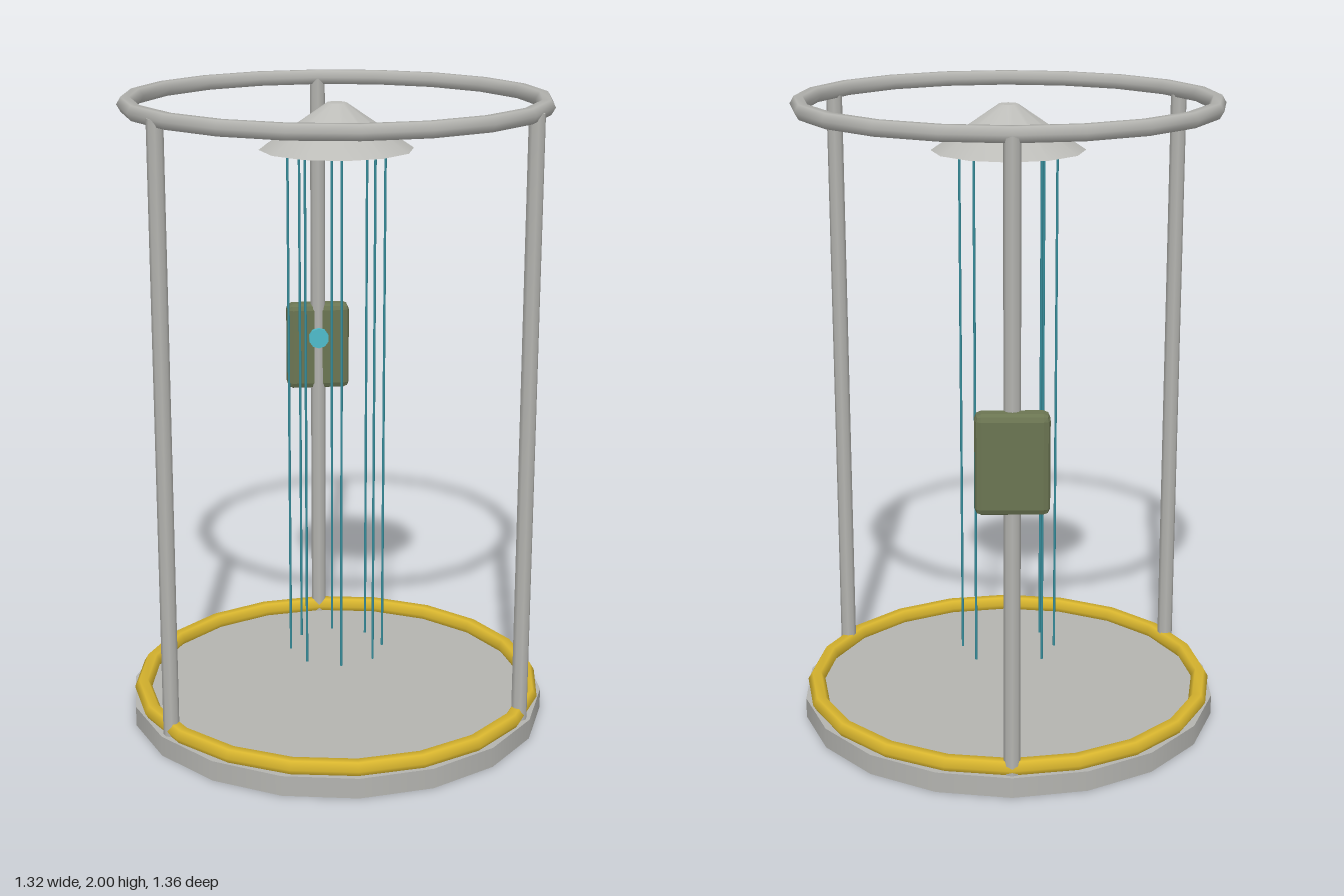
import * as THREE from 'three';
import { RoundedBoxGeometry } from 'three/addons/geometries/RoundedBoxGeometry.js';

const paint = (name, color) => {
  const m = new THREE.MeshStandardMaterial({ color });
  m.name = name;
  return m;
};

export function createModel() {
  const metal = paint('grey metal', 0xb4b4b0);
  const pale = paint('pale metal', 0xbcbcb8);
  const yellow = paint('yellow', 0xd8b52e);
  const olive = paint('olive', 0x6b7552);
  const cyan = paint('cyan', 0x4fbccb);
  const teal = paint('teal', 0x38909e);

  const model = new THREE.Group();
  model.name = 'showerFrame';
  const cz = 0.01; // axis of the round frame
  const R = 0.634; // radius of rings and posts

  const add = (name, geometry, material, x, y, z, parent = model) => {
    const mesh = new THREE.Mesh(geometry, material);
    mesh.name = name;
    mesh.position.set(x, y, z);
    parent.add(mesh);
    return mesh;
  };

  // Round base
  add('base', new THREE.CylinderGeometry(0.67, 0.67, 0.065, 18), metal, 0, 0.0325, cz);

  // Floor ring and top ring
  const ring = (tube) => new THREE.TorusGeometry(R, tube, 6, 20).rotateX(Math.PI / 2);
  add('floorRing', ring(0.028), yellow, 0, 0.082, cz);
  add('topRing', ring(0.026), metal, 0, 1.9775, cz);

  // Three posts
  const postGeometry = new THREE.CylinderGeometry(0.025, 0.025, 1.913, 8);
  for (let i = 0; i < 3; i++) {
    const a = Math.PI + (i * Math.PI * 2) / 3;
    add('post', postGeometry, metal, R * Math.sin(a), 1.0215, cz + R * Math.cos(a));
  }

  // Conical shower head
  add('showerHead', new THREE.CylinderGeometry(0.03, 0.237, 0.14, 12), pale, 0, 1.905, cz);

  // Water streams
  const streams = new THREE.Group();
  streams.name = 'waterStreams';
  model.add(streams);
  const streamGeometry = new THREE.CylinderGeometry(0.004, 0.004, 1.64, 5);
  for (let i = 0; i < 8; i++) {
    const a = (i * Math.PI) / 4;
    add('stream', streamGeometry, teal, 0.15 * Math.cos(a), 1.015, cz + 0.15 * Math.sin(a), streams);
  }

  // Control box with chamfered edges on the back post
  const box = new RoundedBoxGeometry(0.215, 0.3, 0.075, 1, 0.02);
  box.computeVertexNormals();
  add('controlBox', box, olive, 0, 1.05, -0.6425);

  // Round button
  const button = new THREE.CylinderGeometry(0.035, 0.035, 0.024, 10).rotateX(Math.PI / 2);
  add('button', button, cyan, 0, 1.085, -0.599);

  return model;
}
